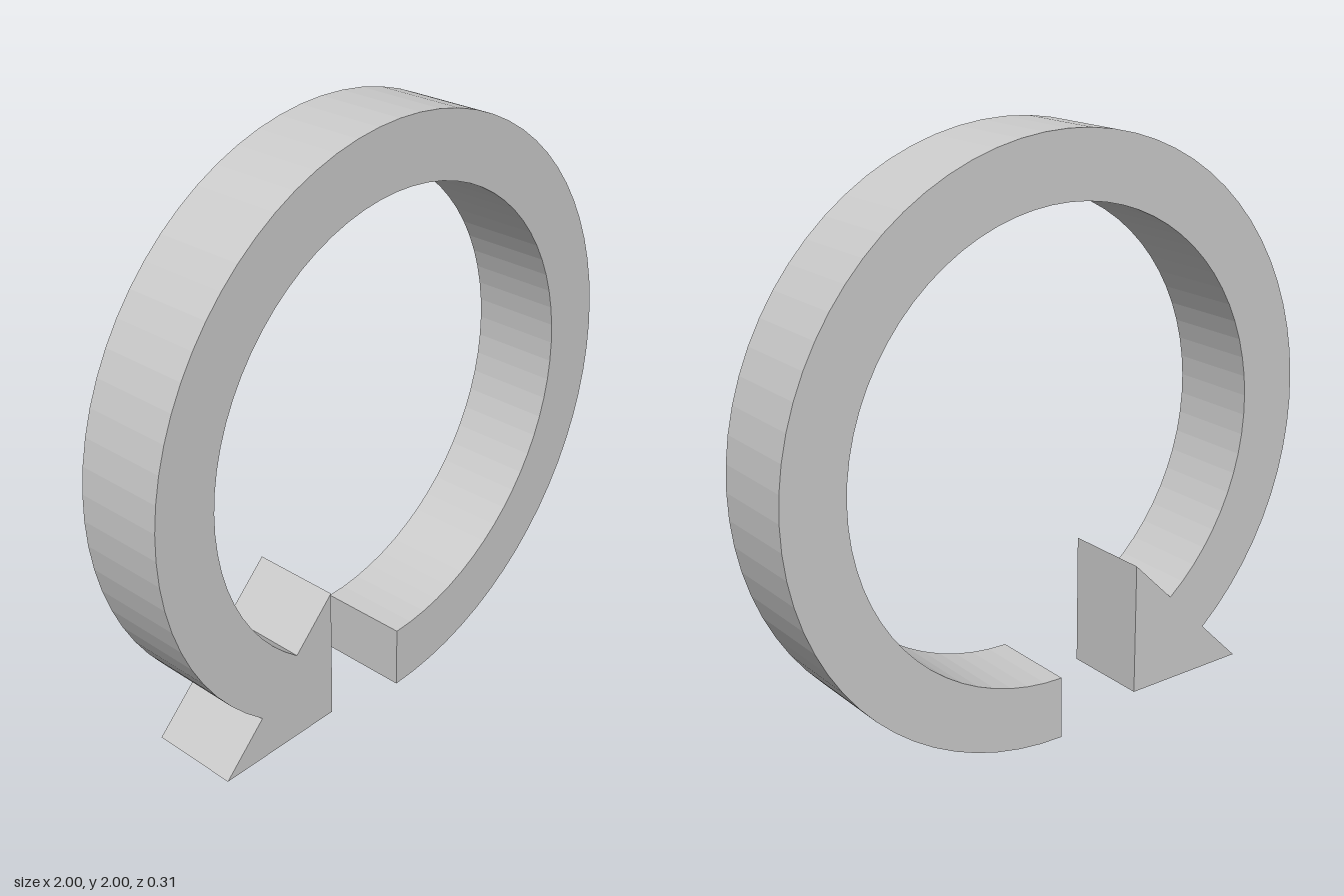
import * as THREE from 'three';

export function createModel() {
  const group = new THREE.Group();
  const depth = 0.31, outer = 1, inner = 0.782;
  const start = -Math.PI / 2;
  const outerEnd = Math.atan2(-0.78, -0.625) + 2 * Math.PI;
  const innerEnd = Math.atan2(-0.625, -0.47) + 2 * Math.PI;

  // Open ring running counter-clockwise from the tail into the arrowhead
  const shape = new THREE.Shape();
  shape.moveTo(0, 0);
  shape.absarc(0, 1, outer, start, outerEnd, false);
  shape.lineTo(-0.78, 0.065);
  shape.lineTo(-0.315, 0.065);
  shape.lineTo(-0.315, 0.53);
  shape.absarc(0, 1, inner, innerEnd, start, true);
  shape.closePath();

  const geometry = new THREE.ExtrudeGeometry(shape, { depth, bevelEnabled: false, curveSegments: 32 });
  geometry.translate(0, 0, -depth / 2);

  const material = new THREE.MeshStandardMaterial({ color: 0xcccccc, flatShading: true });
  const arrow = new THREE.Mesh(geometry, material);
  arrow.name = 'circularArrow';
  group.add(arrow);
  return group;
}
